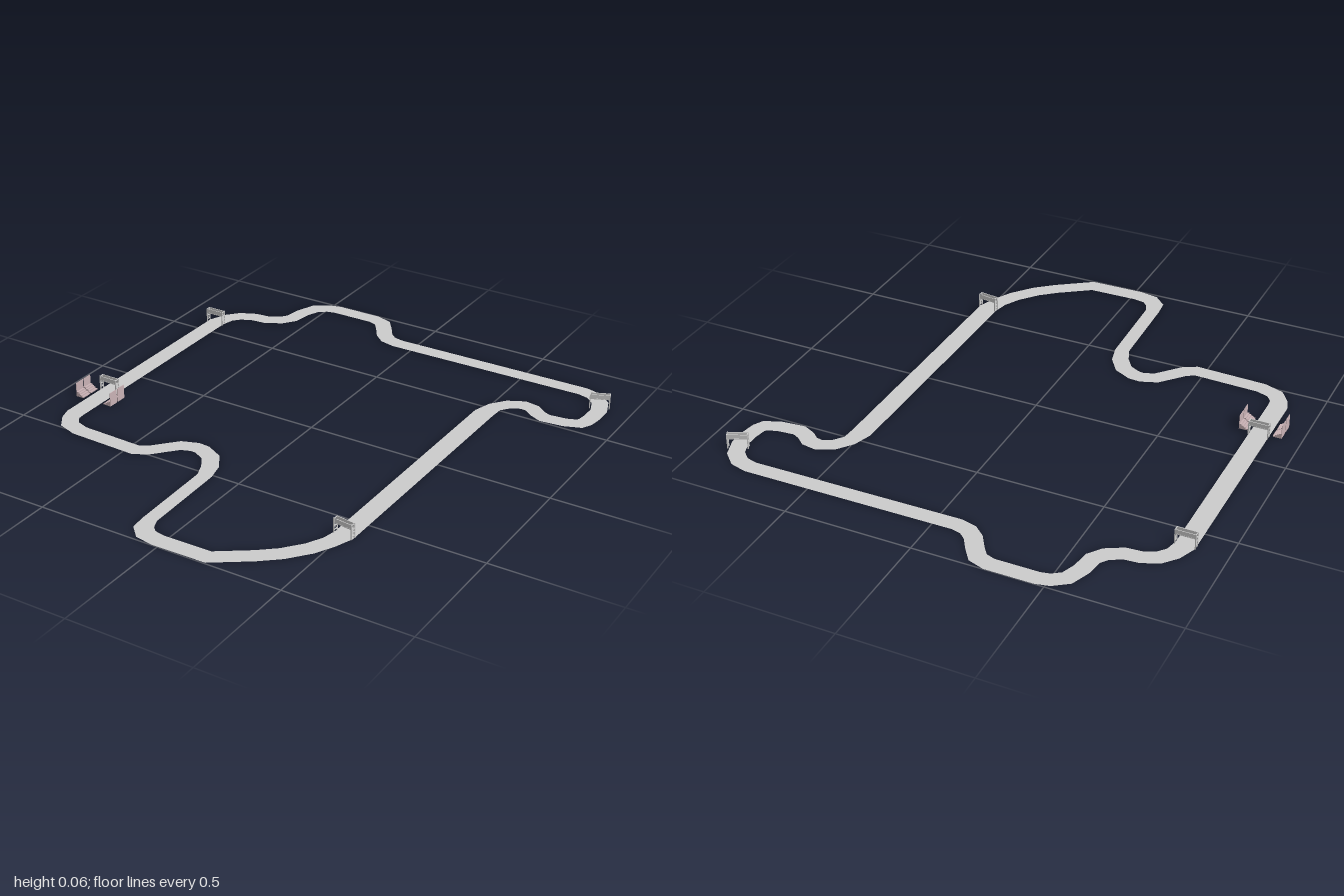
import * as THREE from 'three';

const grey = new THREE.MeshStandardMaterial({ color: 0xcccccc, side: THREE.DoubleSide });
const pink = new THREE.MeshStandardMaterial({ color: 0xc9b2b5 });

// Centreline [x, z] in stretches, each with its own road width
const stretches = [
  { width: 0.075, line: [[-0.84, 0.38], [-0.84, -0.59]] },
  { width: 0.066, line: [ // double bend at the back left
    [-0.82, -0.65], [-0.785, -0.69], [-0.73, -0.715], [-0.67, -0.72], [-0.615, -0.75], [-0.585, -0.79],
    [-0.575, -0.86], [-0.55, -0.925], [-0.505, -0.957], [-0.46, -0.967], [-0.28, -0.967], [-0.23, -0.95],
    [-0.2, -0.91], [-0.165, -0.855], [-0.13, -0.825], [-0.08, -0.813]] },
  { width: 0.064, line: [ // back straight and hairpin
    [0.76, -0.82], [0.815, -0.805], [0.857, -0.765], [0.88, -0.7], [0.88, -0.64], [0.873, -0.59],
    [0.86, -0.565], [0.807, -0.545], [0.725, -0.537], [0.685, -0.556], [0.653, -0.583], [0.61, -0.59],
    [0.558, -0.564], [0.521, -0.516]] },
  { width: 0.08, line: [[0.508, -0.45], [0.503, 0.6]] },
  { width: 0.07, line: [ // long front right sweep
    [0.484, 0.665], [0.447, 0.736], [0.384, 0.813], [0.315, 0.871], [0.185, 0.961], [-0.024, 0.964],
    [-0.082, 0.953], [-0.116, 0.919]] },
  { width: 0.056, line: [[-0.127, 0.866], [-0.138, 0.516]] },
  { width: 0.066, line: [ // front left bends
    [-0.159, 0.45], [-0.198, 0.392], [-0.254, 0.363], [-0.288, 0.36], [-0.341, 0.379], [-0.386, 0.429],
    [-0.423, 0.471], [-0.466, 0.495], [-0.738, 0.485], [-0.802, 0.463], [-0.831, 0.421]] },
];

// Flat ribbon with mitred joints
function roadGeometry() {
  const pts = stretches.flatMap(s => s.line.map(([x, z]) => ({ p: new THREE.Vector2(x, z), w: s.width })));
  const n = pts.length, pos = [], nor = [], idx = [];
  pts.forEach(({ p, w }, i) => {
    const a = p.clone().sub(pts[(i + n - 1) % n].p).normalize();
    const b = pts[(i + 1) % n].p.clone().sub(p).normalize();
    const t = a.clone().add(b).normalize();
    const half = w / 2 / t.dot(a);
    for (const s of [-half, half]) {
      pos.push(p.x - t.y * s, 0.001, p.y + t.x * s);
      nor.push(0, 1, 0);
    }
    const l = 2 * i, m = 2 * ((i + 1) % n);
    idx.push(l, l + 1, m, l + 1, m + 1, m);
  });
  const g = new THREE.BufferGeometry();
  g.setAttribute('position', new THREE.Float32BufferAttribute(pos, 3));
  g.setAttribute('normal', new THREE.Float32BufferAttribute(nor, 3));
  g.setIndex(idx);
  return g;
}

function box(parent, name, size, at, material = grey) {
  const m = new THREE.Mesh(new THREE.BoxGeometry(...size), material);
  m.name = name;
  m.position.set(...at);
  parent.add(m);
  return m;
}

// Thin bar between two points
function bar(parent, name, from, to, thick = 0.003) {
  const a = new THREE.Vector3(...from), b = new THREE.Vector3(...to);
  const m = box(parent, name, [thick, thick, a.distanceTo(b)], [0, 0, 0]);
  m.position.copy(a).add(b).multiplyScalar(0.5);
  m.lookAt(b);
}

// Gantry over the road: laddered legs, truss rails and a sign panel
function gantry(x, z, turn) {
  const g = new THREE.Group();
  g.name = 'gantry';
  const h = 0.038, d = 0.009;
  for (const sx of [-h, h]) {
    for (const sz of [-d, d]) bar(g, 'gantryLeg', [sx, 0, sz], [sx, 0.06, sz], 0.004);
    for (const y of [0.012, 0.027, 0.042, 0.058]) bar(g, 'legRung', [sx, y, -d], [sx, y, d]);
    bar(g, 'legBrace', [sx, 0.012, -d], [sx, 0.027, d], 0.002);
    bar(g, 'legBrace', [sx, 0.027, d], [sx, 0.042, -d], 0.002);
  }
  for (const sz of [-d, d]) {
    for (const y of [0.042, 0.058]) bar(g, 'crossRail', [-h, y, sz], [h, y, sz]);
    box(g, 'signPanel', [2 * h, 0.015, 0.0015], [0, 0.05, sz]);
  }
  g.position.set(x, 0, z);
  g.rotation.y = turn;
  return g;
}

// Stand: tall back wall with low stepped seating; side = direction of the back
function grandstand(x, z, side) {
  const g = new THREE.Group();
  g.name = 'grandstand';
  const length = 0.042;
  box(g, 'backWall', [0.002, 0.057, length], [side * 0.016, 0.0285, 0], pink);
  for (let i = 0; i < 4; i++) {
    const height = 0.005 * (i + 1);
    box(g, 'seatStep', [0.008, height, length], [side * (-0.013 + i * 0.008), height / 2, 0], pink);
  }
  g.position.set(x, 0, z);
  return g;
}

export function createModel() {
  const model = new THREE.Group();
  model.name = 'raceTrack';
  const road = new THREE.Mesh(roadGeometry(), grey);
  road.name = 'road';
  model.add(road);

  for (const [x, z, turn] of [[-0.84, -0.584, 0], [-0.84, 0.162, 0], [0.87, -0.728, 0.4], [0.503, 0.6, -0.13]])
    model.add(gantry(x, z, turn));

  for (const z of [0.199, 0.246]) {
    model.add(grandstand(-0.907, z, -1));
    model.add(grandstand(-0.773, z, 1));
  }
  return model;
}
